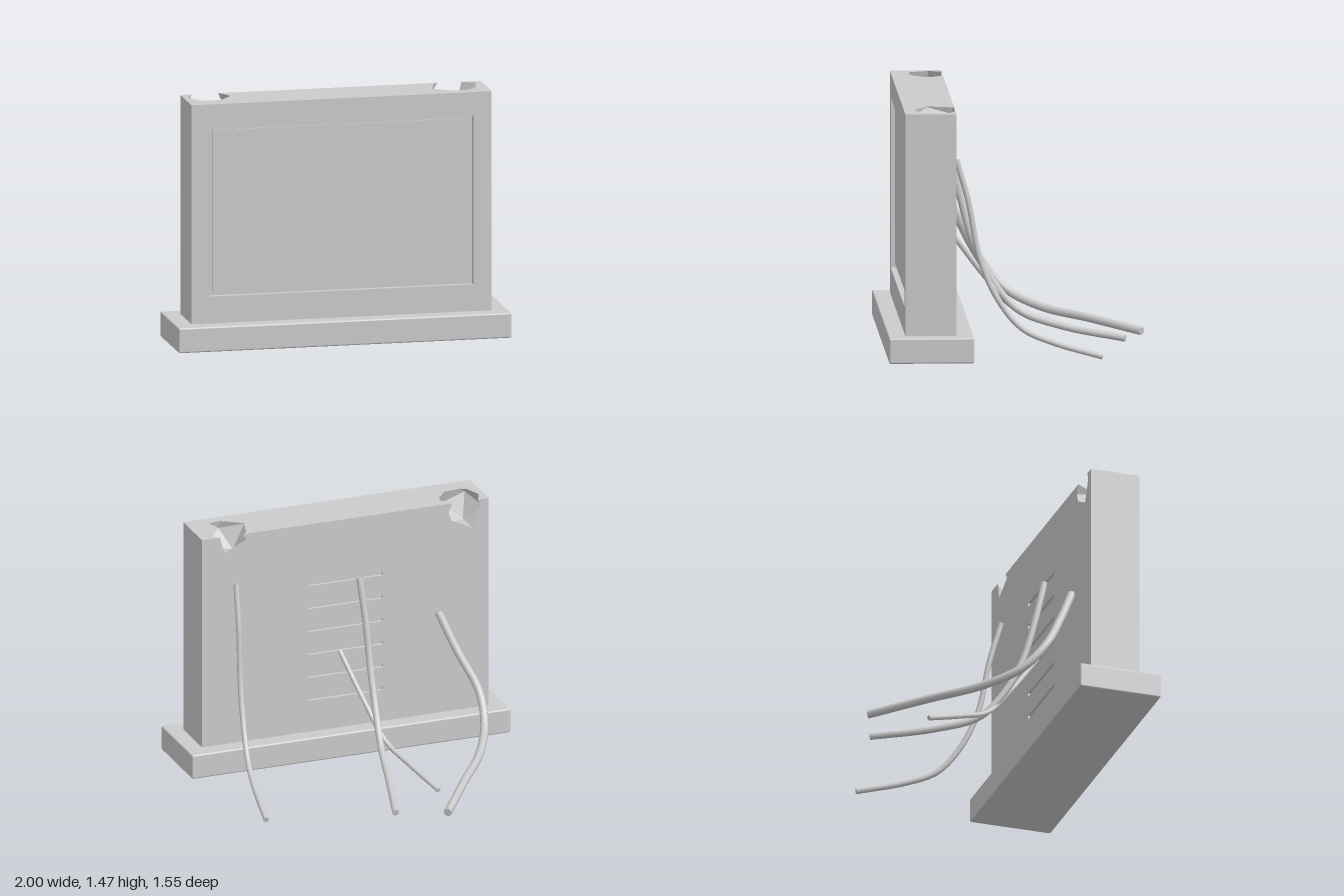
import * as THREE from 'three';
import { RoundedBoxGeometry } from 'three/addons/geometries/RoundedBoxGeometry.js';

const W = 0.9, BOTTOM = 0.17, TOP = 1.48, BACK = 0.37, FRAME = 0.635, FRONT = 0.67;

const grey = new THREE.MeshStandardMaterial({ color: 0xcccccc, side: THREE.DoubleSide });
const faceted = new THREE.MeshStandardMaterial({ color: 0xcccccc, side: THREE.DoubleSide, flatShading: true });

function add(parent, name, geometry, material = grey, x = 0, y = 0, z = 0) {
  const mesh = new THREE.Mesh(geometry, material);
  mesh.name = name;
  mesh.position.set(x, y, z);
  parent.add(mesh);
  return mesh;
}

// Closed rectangular outline, usable as shape or hole
function rect(Type, x0, y0, x1, y1) {
  const r = new Type();
  r.moveTo(x0, y0).lineTo(x1, y0).lineTo(x1, y1).lineTo(x0, y1).closePath();
  return r;
}

// Keep the part of a polygon where side(p) <= 0
function clip(poly, side) {
  const out = [];
  poly.forEach((a, i) => {
    const b = poly[(i + 1) % poly.length], da = side(a), db = side(b);
    if (da <= 0) out.push(a);
    if (da * db < 0) out.push(a.clone().lerp(b, da / (da - db)));
  });
  return out;
}

// Faceted bite out of the top back edge, with the outlines it cuts in both faces
function makeCrater(cx, cy, cz, r, turn) {
  const ico = new THREE.IcosahedronGeometry(r, 0);
  ico.rotateX(turn).rotateY(turn * 1.7).rotateZ(turn * 0.6).translate(cx, cy, cz);
  const p = ico.attributes.position, pos = [], rim = new Map();
  for (let i = 0; i < p.count; i += 3) {
    let poly = [0, 1, 2].map(k => new THREE.Vector3().fromBufferAttribute(p, i + k));
    poly = clip(clip(poly, v => v.y - TOP), v => BACK - v.z);
    for (let k = 1; k + 1 < poly.length; k++) {
      for (const v of [poly[0], poly[k + 1], poly[k]]) pos.push(v.x, v.y, v.z);
    }
    poly.forEach(v => rim.set(v.toArray().map(n => n.toFixed(4)).join(), v));
  }
  const geometry = new THREE.BufferGeometry();
  geometry.setAttribute('position', new THREE.Float32BufferAttribute(pos, 3));
  geometry.computeVertexNormals();
  const pts = [...rim.values()];
  const sorted = (list, depth) => list.sort((a, b) =>
    Math.atan2(depth(b), b.x - cx) - Math.atan2(depth(a), a.x - cx));
  return {
    geometry,
    topRim: sorted(pts.filter(v => Math.abs(v.y - TOP) < 1e-5), v => Math.max(0, v.z - BACK)),
    backRim: sorted(pts.filter(v => Math.abs(v.z - BACK) < 1e-5), v => Math.max(0, TOP - v.y)),
  };
}

// Cable through a few points, with capped ends
function addCable(parent, name, radius, points) {
  const curve = new THREE.CatmullRomCurve3(points.map(q => new THREE.Vector3(...q)));
  const cable = new THREE.Group();
  cable.name = name;
  add(cable, 'cableTube', new THREE.TubeGeometry(curve, 32, radius, 8));
  for (const t of [0, 1]) {
    const end = curve.getPointAt(t);
    const cap = add(cable, 'cableEnd', new THREE.CircleGeometry(radius, 8), grey, end.x, end.y, end.z);
    const dir = curve.getTangentAt(t).multiplyScalar(t ? 1 : -1);
    cap.quaternion.setFromUnitVectors(new THREE.Vector3(0, 0, 1), dir);
  }
  parent.add(cable);
}

export function createModel() {
  const model = new THREE.Group();
  model.name = 'brokenScreen';

  // Base slab
  add(model, 'base', new RoundedBoxGeometry(2, 0.15, 0.5, 2, 0.01), grey, 0, 0.095, 0.52);

  const body = new THREE.Group();
  body.name = 'body';
  model.add(body);

  // Damaged corners, ordered from -x to +x
  const craters = [
    makeCrater(-0.75, 1.43, 0.45, 0.15, 0.9),
    makeCrater(0.72, TOP, 0.475, 0.155, 0.5),
  ];
  craters.forEach((c, i) => add(body, i ? 'leftCrater' : 'rightCrater', c.geometry, faceted));

  // Top face with the bites cut out of its back edge
  const V2 = (x, y) => new THREE.Vector2(x, y);
  const topShape = new THREE.Shape([
    V2(-W, -BACK),
    ...craters.flatMap(c => c.topRim.map(v => V2(v.x, -v.z))),
    V2(W, -BACK), V2(W, -FRAME), V2(-W, -FRAME),
  ]);
  add(body, 'topFace', new THREE.ShapeGeometry(topShape).rotateX(-Math.PI / 2), grey, 0, TOP, 0);

  // Back face with bites and an opening for the vent panel
  const backShape = new THREE.Shape([
    V2(W, TOP),
    ...craters.flatMap(c => c.backRim.map(v => V2(-v.x, v.y))),
    V2(-W, TOP), V2(-W, BOTTOM), V2(W, BOTTOM),
  ]);
  backShape.holes.push(rect(THREE.Path, -0.26, 0.34, 0.26, 1.14));
  add(body, 'backFace', new THREE.ShapeGeometry(backShape).rotateY(Math.PI), grey, 0, 0, BACK);

  // Vent panel with six slots
  const vents = rect(THREE.Shape, -0.26, 0.34, 0.26, 1.14);
  for (let i = 0; i < 6; i++) {
    const y = 0.375 + i * 0.145;
    vents.holes.push(rect(THREE.Path, -0.235, y - 0.011, 0.235, y + 0.011));
  }
  add(body, 'ventPanel', new THREE.ExtrudeGeometry(vents, { depth: 0.02, bevelEnabled: false }), grey, 0, 0, BACK);
  add(body, 'ventBacking', new THREE.PlaneGeometry(0.52, 0.8).rotateY(Math.PI), grey, 0, 0.74, BACK + 0.02);

  // Side faces
  for (const s of [-1, 1]) {
    const side = new THREE.PlaneGeometry(FRAME - BACK, TOP - BOTTOM).rotateY(s * Math.PI / 2);
    add(body, s > 0 ? 'leftSide' : 'rightSide', side, grey, s * W, (TOP + BOTTOM) / 2, (FRAME + BACK) / 2);
  }

  // Front frame and recessed screen
  const frame = rect(THREE.Shape, -W, BOTTOM, W, TOP);
  frame.holes.push(rect(THREE.Path, -0.79, 0.33, 0.79, 1.34));
  add(body, 'frontFrame', new THREE.ExtrudeGeometry(frame, { depth: FRONT - FRAME, bevelEnabled: false }), grey, 0, 0, FRAME);
  add(body, 'screenRecess', new THREE.PlaneGeometry(1.58, 1.01), grey, 0, 0.835, FRAME + 0.001);
  add(body, 'screen', new THREE.BoxGeometry(1.54, 0.965, 0.01), grey, 0, 0.8375, FRAME + 0.005);

  // Torn cables hanging from the back
  addCable(model, 'thickCable', 0.025, [
    [-0.58, 0.81, 0.36], [-0.66, 0.59, 0.26], [-0.75, 0.37, 0.14], [-0.73, 0.21, 0],
    [-0.62, 0.12, -0.2], [-0.42, 0.08, -0.47], [-0.2, 0.03, -0.77]]);
  addCable(model, 'middleCable', 0.021, [
    [-0.085, 1.1, 0.36], [-0.1, 0.85, 0.3], [-0.1, 0.57, 0.22], [-0.09, 0.35, 0.11],
    [-0.065, 0.18, -0.04], [-0.01, 0.09, -0.3], [0.085, 0.03, -0.66]]);
  addCable(model, 'thinCable', 0.015, [
    [0.04, 0.66, 0.36], [-0.04, 0.4, 0.17], [-0.11, 0.2, 0], [-0.19, 0.11, -0.2], [-0.28, 0.025, -0.42]]);
  addCable(model, 'sideCable', 0.017, [
    [0.69, 1.18, 0.36], [0.7, 0.93, 0.29], [0.715, 0.6, 0.225], [0.735, 0.36, 0.12],
    [0.76, 0.19, -0.02], [0.79, 0.11, -0.2], [0.83, 0.03, -0.49]]);

  return model;
}
